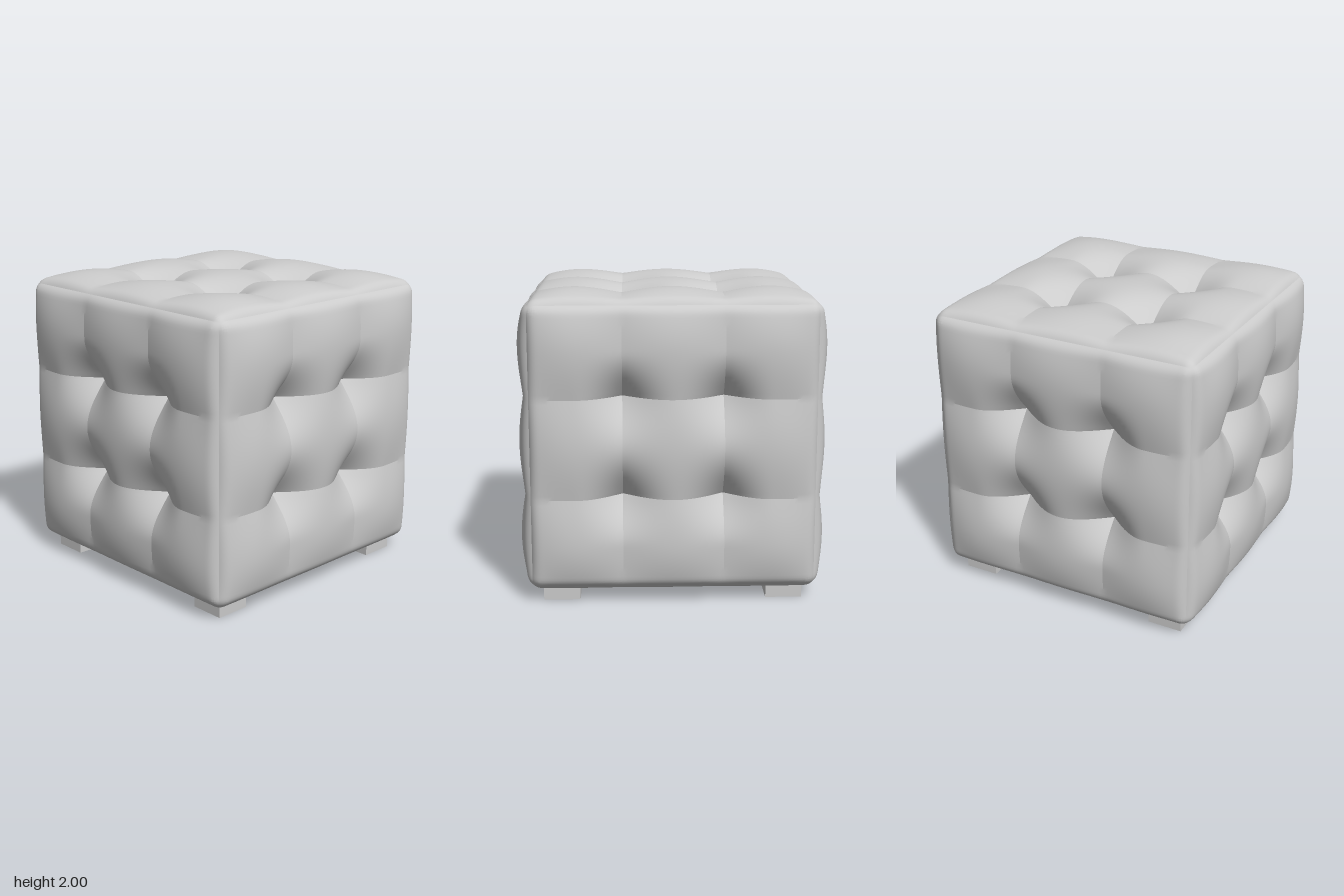
import * as THREE from 'three';
import { toCreasedNormals } from 'three/addons/utils/BufferGeometryUtils.js';

const HALF = 0.925, RADIUS = 0.08, SEAM = 0.32, SEGS = 24;
const CENTER_Y = 1.015;

// Grid index -> coordinate: seams fall on grid lines, rows get denser at the edges
function gridCoord(i) {
  const a = Math.abs(i), inner = SEGS / 2;
  if (a <= inner) return (i / inner) * SEAM;
  const t = (a - inner) / SEGS;
  const e = 0.5 * t + 0.5 * Math.sin((t * Math.PI) / 2);
  return Math.sign(i) * (SEAM + (HALF - SEAM) * e);
}

// 1 on a seam, falling to 0 in the middle of a panel, with a sharp valley
function seam(u) {
  const d = Math.abs(u) - SEAM;
  const t = Math.min(1, Math.abs(d) / (d < 0 ? SEAM : 0.3));
  return 1 - Math.sin((t * Math.PI) / 2);
}

// 1 over the face, easing to 0 at its border
function border(u) {
  const t = Math.max(0, (Math.abs(u) - 0.62) / (HALF - 0.62));
  return 1 - t * t;
}

// Outward puff of the padding; buttons pull in where seams cross
function puff(u, v) {
  const a = seam(u), b = seam(v);
  return border(u) * border(v) * (0.06 - 0.035 * (a + b - a * b) - 0.17 * a * b);
}

function cushionGeometry() {
  const n = SEGS * 3;
  const geo = new THREE.BoxGeometry(2, 2, 2, n, n, n);
  const pos = geo.attributes.position, nor = geo.attributes.normal;
  const axes = ['x', 'y', 'z'];
  const p = new THREE.Vector3(), face = new THREE.Vector3(), core = new THREE.Vector3();
  const lim = HALF - RADIUS;
  for (let i = 0; i < pos.count; i++) {
    p.fromBufferAttribute(pos, i);
    face.fromBufferAttribute(nor, i);
    axes.forEach((k) => { p[k] = gridCoord(Math.round((p[k] * n) / 2)); });
    const [u, v] = axes.filter((k) => Math.abs(face[k]) < 0.5).map((k) => p[k]);
    const amount = puff(u, v) * (face.y < -0.5 ? 0.2 : 1); // flatter underside
    // round the cube, then puff the face
    axes.forEach((k) => { core[k] = Math.max(-lim, Math.min(lim, p[k])); });
    p.sub(core).setLength(RADIUS).add(core).addScaledVector(face, amount);
    pos.setXYZ(i, p.x, p.y, p.z);
  }
  geo.deleteAttribute('uv');
  geo.scale(10, 10, 10); // finer vertex matching for the creases
  return toCreasedNormals(geo, 0.25).scale(0.1, 0.1, 0.1);
}

export function createModel() {
  const group = new THREE.Group();
  group.name = 'tuftedPouf';
  const material = new THREE.MeshStandardMaterial({ color: 0xcccccc });

  // Tufted cube cushion
  const cushion = new THREE.Mesh(cushionGeometry(), material);
  cushion.name = 'cushion';
  cushion.position.y = CENTER_Y;
  group.add(cushion);

  // Four square feet
  const footGeo = new THREE.BoxGeometry(0.235, 0.12, 0.235);
  for (const sx of [-1, 1]) {
    for (const sz of [-1, 1]) {
      const foot = new THREE.Mesh(footGeo, material);
      foot.name = (sz > 0 ? 'front' : 'back') + (sx > 0 ? 'Left' : 'Right') + 'Foot';
      foot.position.set(sx * 0.718, 0.06, sz * 0.718);
      group.add(foot);
    }
  }
  return group;
}
